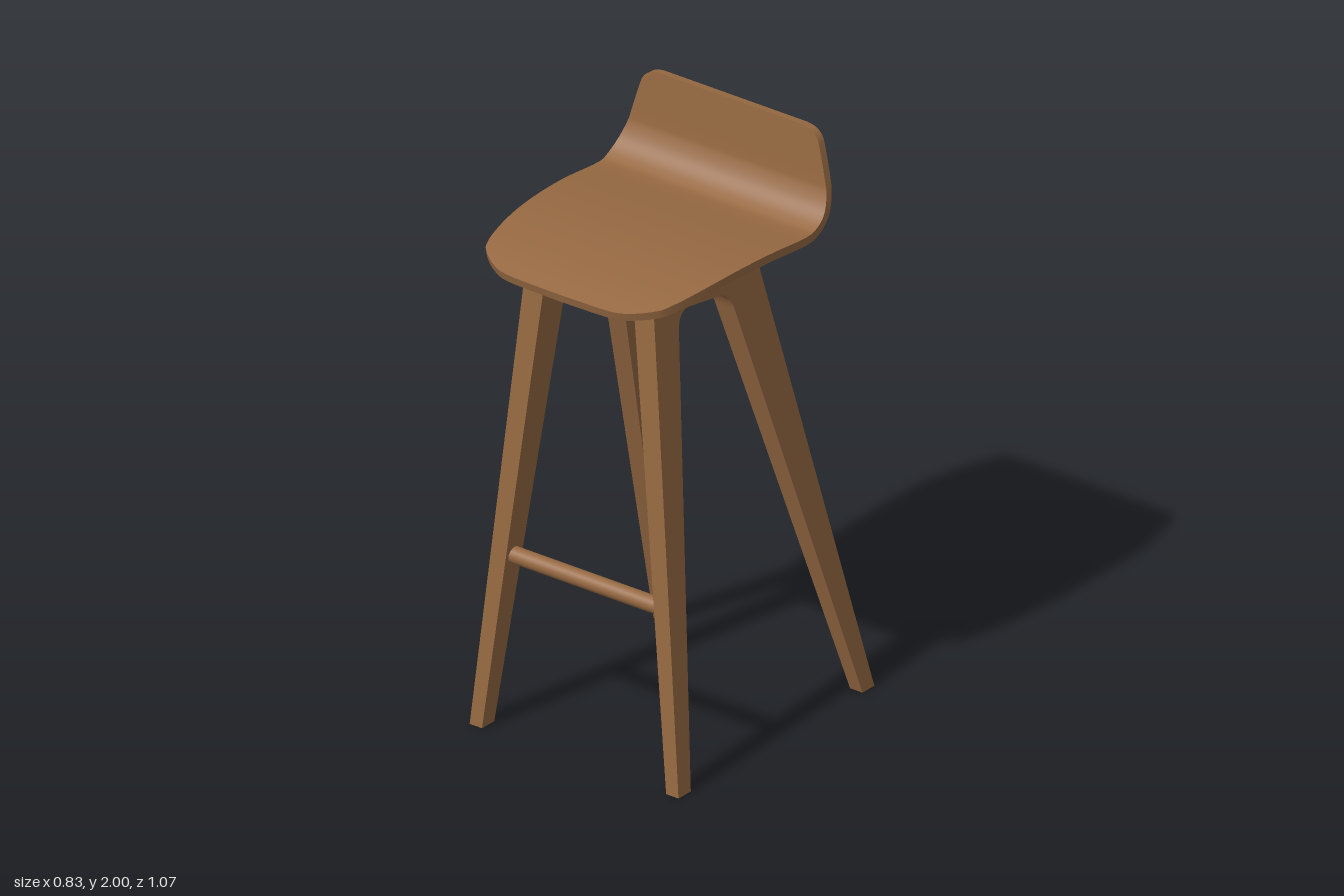
import * as THREE from 'three';
import { toCreasedNormals } from 'three/addons/utils/BufferGeometryUtils.js';

const wood = new THREE.MeshStandardMaterial({ color: 0x966942 });
const vectors = (pairs) => pairs.map(([a, b]) => new THREE.Vector2(a, b));

function addPart(parent, name, geometry) {
  const mesh = new THREE.Mesh(geometry, wood);
  mesh.name = name;
  parent.add(mesh);
  return mesh;
}

// Bent plywood shell: a slab swept along a side profile (z, y), trimmed by an outline.
function seatGeometry() {
  const thickness = 0.028;
  const profile = new THREE.SplineCurve(vectors([
    [0.53, 1.652], [0.4, 1.682], [0.2, 1.703], [0, 1.704], [-0.19, 1.69],
    [-0.25, 1.702], [-0.3, 1.74], [-0.33, 1.795], [-0.338, 1.84], [-0.351, 1.999],
  ]));
  profile.arcLengthDivisions = 600;
  const length = profile.getLength();
  // Distance from the front lip along the profile, half width there
  const outline = new THREE.SplineCurve(vectors([
    [0, 0.02], [0.005, 0.2], [0.025, 0.27], [0.065, 0.33], [0.105, 0.36], [0.2, 0.385],
    [0.335, 0.403], [0.535, 0.414], [0.735, 0.415], [length - 0.28, 0.412],
    [length - 0.17, 0.387], [length - 0.07, 0.36], [length - 0.03, 0.345],
    [length - 0.008, 0.32], [length, 0.285],
  ]));
  const geometry = new THREE.BoxGeometry(1, 1, 1, 12, 1, 112);
  const pos = geometry.attributes.position;
  for (let i = 0; i < pos.count; i++) {
    const row = outline.getPoint(0.5 - pos.getZ(i));
    const u = THREE.MathUtils.clamp(row.x / length, 0, 1);
    const p = profile.getPointAt(u);
    const t = profile.getTangentAt(u);
    const offset = pos.getY(i) * thickness;
    pos.setXYZ(i, pos.getX(i) * 2 * row.y, p.y - t.x * offset, p.x + t.y * offset);
  }
  geometry.computeVertexNormals();
  return geometry;
}

// Side frame: front leg, top rail and back leg in one piece, leaning inwards.
const innerX = (y) => 0.365 - 0.118 * y;
const outerX = (y) => 0.414 - 0.099 * y;

function frameGeometry(side) {
  const shape = new THREE.Shape();
  shape.moveTo(0.45, 0);
  shape.lineTo(0.368, 1.686);
  shape.quadraticCurveTo(0.12, 1.704, -0.125, 1.684);
  shape.lineTo(-0.535, 0);
  shape.lineTo(-0.475, 0);
  shape.lineTo(-0.018, 1.475);
  shape.quadraticCurveTo(0, 1.54, 0.05, 1.547);
  shape.lineTo(0.2, 1.57);
  shape.quadraticCurveTo(0.252, 1.574, 0.258, 1.51);
  shape.lineTo(0.388, 0);
  shape.closePath();
  const geometry = new THREE.ExtrudeGeometry(shape, { depth: 1, bevelEnabled: false, curveSegments: 8 });
  const pos = geometry.attributes.position;
  for (let i = 0; i < pos.count; i++) {
    const z = pos.getX(i), y = pos.getY(i), d = pos.getZ(i);
    const x = THREE.MathUtils.lerp(innerX(y), outerX(y), side > 0 ? 1 - d : d);
    pos.setXYZ(i, side * x, y, z);
  }
  return toCreasedNormals(geometry, 0.6);
}

// Cross rail between the frames; its ends follow their lean and it slopes in z.
function railGeometry(bottom, top, zBottom, zTop, depth) {
  const geometry = new THREE.BoxGeometry(2, 1, depth);
  const pos = geometry.attributes.position;
  for (let i = 0; i < pos.count; i++) {
    const f = pos.getY(i) + 0.5;
    const y = THREE.MathUtils.lerp(bottom, top, f);
    pos.setXYZ(i, pos.getX(i) * (innerX(y) + 0.01), y, pos.getZ(i) + THREE.MathUtils.lerp(zBottom, zTop, f));
  }
  geometry.computeVertexNormals();
  return geometry;
}

export function createModel() {
  const model = new THREE.Group();
  model.name = 'barStool';

  addPart(model, 'seatShell', seatGeometry());
  addPart(model, 'leftLegFrame', frameGeometry(1));
  addPart(model, 'rightLegFrame', frameGeometry(-1));

  // Rails under the seat
  addPart(model, 'frontRail', railGeometry(1.59, 1.69, 0.3, 0.3, 0.05));
  addPart(model, 'backRail', railGeometry(1.5, 1.685, -0.13, -0.09, 0.045));

  // Round footrest between the front legs
  const footrest = addPart(model, 'footrest', new THREE.CylinderGeometry(0.028, 0.028, 0.61, 24));
  footrest.rotation.z = Math.PI / 2;
  footrest.position.set(0, 0.602, 0.38);

  return model;
}
